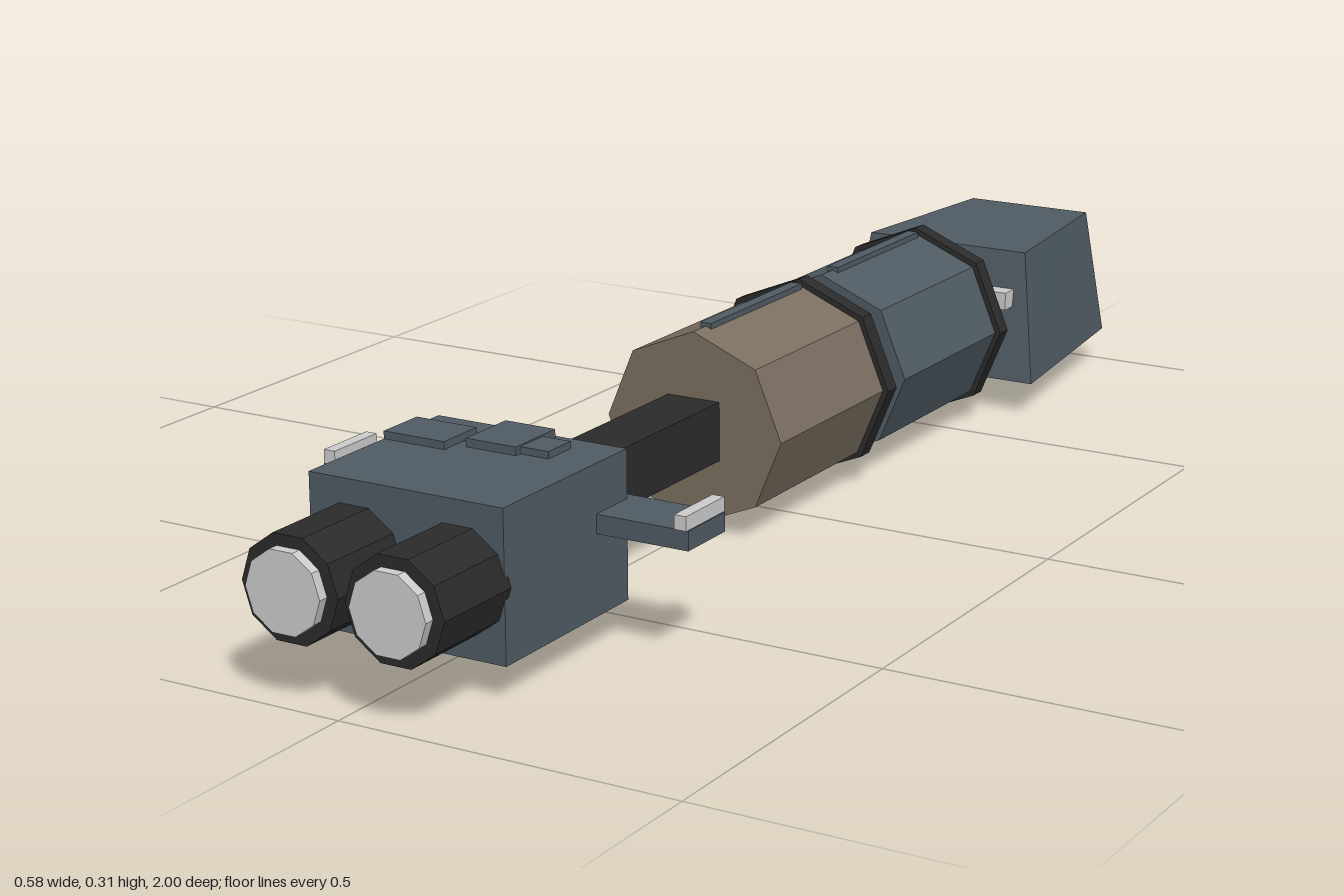
import * as THREE from 'three';

const AXIS_Y = 0.154;

function material(name, color) {
  const m = new THREE.MeshStandardMaterial({ color });
  m.name = name;
  return m;
}

export function createModel() {
  const steel = material('steelBlue', 0x4f5b63);
  const tan = material('tan', 0x7b6f60);
  const dark = material('darkGrey', 0x2b2b2b);
  const light = material('lightGrey', 0xcccccc);
  const model = new THREE.Group();
  model.name = 'spaceship';

  function add(name, geometry, mat) {
    const mesh = new THREE.Mesh(geometry, mat);
    mesh.name = name;
    model.add(mesh);
    return mesh;
  }

  // box given by its extents on each axis
  function box(name, mat, [x0, x1], [y0, y1], [z0, z1]) {
    const g = new THREE.BoxGeometry(x1 - x0, y1 - y0, z1 - z0);
    g.translate((x0 + x1) / 2, (y0 + y1) / 2, (z0 + z1) / 2);
    return add(name, g, mat);
  }

  // faceted prism lying along z, with a corner on the given start angle
  function prism(name, mat, radius, sides, x, z0, z1, start = 0) {
    const g = new THREE.CylinderGeometry(radius, radius, z1 - z0, sides, 1, false, start)
      .rotateX(Math.PI / 2).toNonIndexed();
    g.computeVertexNormals();
    g.translate(x, AXIS_Y, (z0 + z1) / 2);
    return add(name, g, mat);
  }

  // central spine
  box('spine', dark, [-0.043, 0.043], [0.112, 0.2], [-0.66, 0.57]);

  // octagonal modules, each with a rear flange and a top rail
  for (const [name, mat, z0, z1] of [['cargoModule', tan, -0.17, 0.142], ['crewModule', steel, -0.55, -0.237]]) {
    prism(name, mat, 0.145, 8, 0, z0, z1);
    prism(name + 'Flange', dark, 0.154, 8, 0, z0 - 0.023, z0 + 0.004);
    box(name + 'Rail', steel, [-0.009, 0.009], [0.285, 0.304], [z0 + 0.012, z1 - 0.035]);
  }

  // head: a box tapering upward and toward the far end
  const head = new THREE.BoxGeometry(1, 1, 1).toNonIndexed();
  const p = head.attributes.position;
  for (let i = 0; i < p.count; i++) {
    const top = p.getY(i) > 0;
    const near = p.getZ(i) > 0;
    const half = near ? (top ? 0.14 : 0.172) : (top ? 0.106 : 0.128);
    p.setXYZ(i, Math.sign(p.getX(i)) * half, top ? 0.26 : 0.053,
      near ? (top ? -0.66 : -0.627) : (top ? -0.968 : -1));
  }
  head.computeVertexNormals();
  add('head', head, steel);
  box('headLamp', light, [-0.045, 0.045], [0.215, 0.235], [-0.993, -0.96]);
  for (const x of [-0.105, -0.035, 0.035, 0.105]) {
    box('headPort', light, [x - 0.021, x + 0.021], [0.172, 0.2], [-0.66, -0.62]);
  }

  // engine block with roof plates
  box('engineBlock', steel, [-0.15, 0.15], [0.05, 0.26], [0.56, 0.848]);
  box('roofPlate', steel, [-0.15, -0.053], [0.255, 0.271], [0.61, 0.685]);
  box('roofPlate', steel, [-0.036, 0.043], [0.255, 0.272], [0.567, 0.66]);
  box('roofPlate', steel, [0.043, 0.087], [0.255, 0.27], [0.597, 0.65]);

  // crossing wing, tip fins and twin engines
  box('wing', steel, [-0.289, 0.289], [0.164, 0.191], [0.543, 0.635]);
  for (const s of [-1, 1]) {
    const fin = new THREE.BoxGeometry(0.018, 0.02, 0.096);
    fin.translate(s * 0.278, 0.201, 0.589);
    add('wingTipFin', fin, light);
    prism('engine', dark, 0.075, 10, s * 0.08, 0.84, 0.985, Math.PI / 2);
    prism('engineGlow', light, 0.058, 10, s * 0.08, 0.975, 1, Math.PI / 2);
  }
  return model;
}
